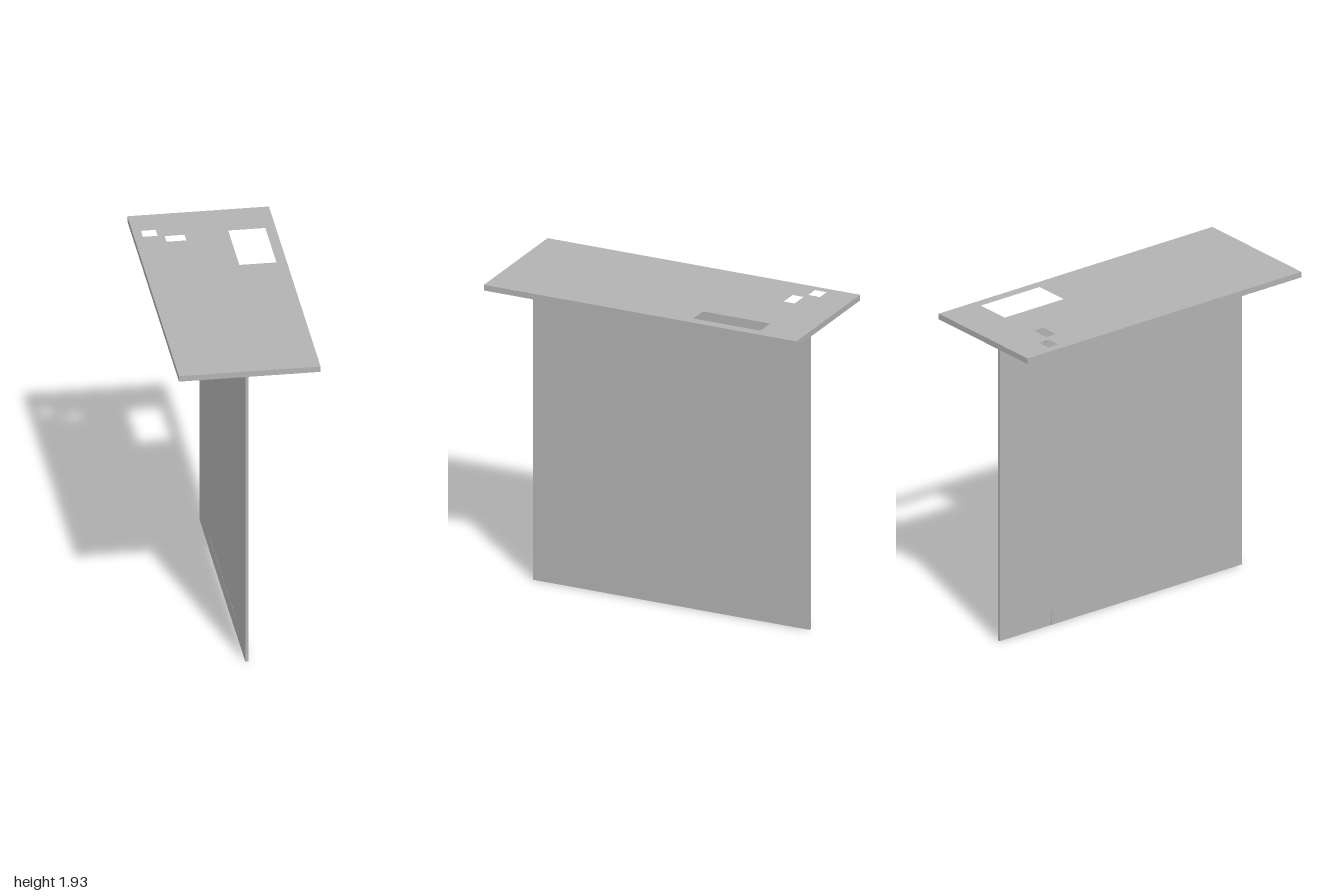
import * as THREE from 'three';

const grey = new THREE.MeshStandardMaterial({ color: 0xb2b2b2 });
grey.name = 'grey';

// Rectangle in plan, given in x and z (z becomes -y before the plate is laid flat)
function rect(target, x0, x1, z0, z1) {
  target.moveTo(x0, -z0);
  target.lineTo(x1, -z0);
  target.lineTo(x1, -z1);
  target.lineTo(x0, -z1);
  target.closePath();
  return target;
}

function box(name, x0, x1, y0, y1, halfDepth) {
  const mesh = new THREE.Mesh(new THREE.BoxGeometry(x1 - x0, y1 - y0, halfDepth * 2), grey);
  mesh.position.set((x0 + x1) / 2, (y0 + y1) / 2, 0);
  mesh.name = name;
  return mesh;
}

export function createModel() {
  const group = new THREE.Group();
  group.name = 'panelWithTopPlate';

  // Top plate with one large and two small cut-outs
  const outline = rect(new THREE.Shape(), -0.41, 0.41, -1, 1);
  const cutouts = [
    [0.13, 0.35, -0.74, -0.31],
    [-0.36, -0.275, -0.81, -0.735],
    [-0.235, -0.12, -0.725, -0.655],
  ];
  for (const c of cutouts) outline.holes.push(rect(new THREE.Path(), ...c));
  const plateGeometry = new THREE.ExtrudeGeometry(outline, { depth: 0.035, bevelEnabled: false });
  plateGeometry.rotateX(-Math.PI / 2);
  const plate = new THREE.Mesh(plateGeometry, grey);
  plate.position.y = 1.9;
  plate.name = 'topPlate';
  group.add(plate);

  // Upright sheet and its folded mounting flange
  group.add(box('uprightPanel', -0.009, 0.009, 0, 1.9, 0.885));
  group.add(box('mountingFlange', 0.009, 0.145, 1.885, 1.9, 0.885));

  // Barely raised strip along the foot of the sheet, on both faces
  group.add(box('footStrip', -0.01, 0.01, 0, 0.09, 0.51));

  return group;
}
